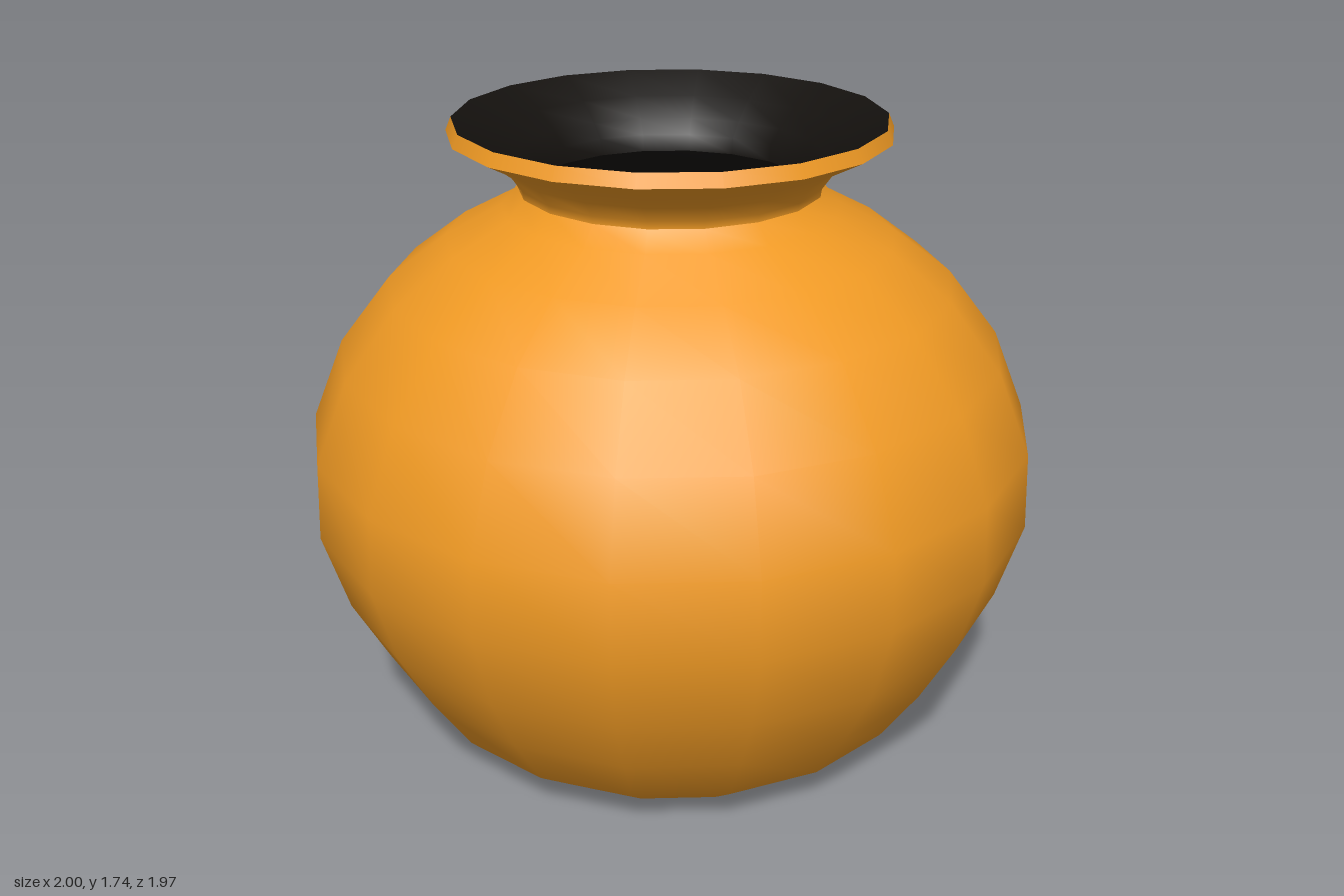
import * as THREE from 'three';

const SIDES = 18;
const clay = new THREE.MeshStandardMaterial({ color: 0xf09a24 });
const soot = new THREE.MeshStandardMaterial({ color: 0x14110e });

// One turned surface; the profile runs upward on the outside, downward on the inside
function turned(name, profile, material) {
  const points = profile.map(([r, y]) => new THREE.Vector2(r, y));
  const mesh = new THREE.Mesh(new THREE.LatheGeometry(points, SIDES, Math.PI / 2), material);
  mesh.name = name;
  return mesh;
}

export function createModel() {
  const pot = new THREE.Group();
  pot.name = 'pot';

  // Outer skin, split where the edges are sharp
  pot.add(turned('base', [[0, 0], [0.58, 0]], clay));
  pot.add(turned('body', [
    [0.58, 0], [0.73, 0.12], [0.84, 0.29], [0.935, 0.47], [1, 0.69], [0.99, 0.9],
    [0.9, 1.12], [0.76, 1.3], [0.6, 1.42], [0.45, 1.5], [0.405, 1.55],
  ], clay));
  pot.add(turned('neck', [
    [0.405, 1.55], [0.407, 1.57], [0.435, 1.61], [0.49, 1.65], [0.585, 1.7],
  ], clay));
  pot.add(turned('rim', [[0.585, 1.7], [0.57, 1.735]], clay));

  // Dark hollow inside
  pot.add(turned('innerNeck', [
    [0.57, 1.735], [0.47, 1.68], [0.41, 1.63], [0.375, 1.59], [0.37, 1.545],
  ], soot));
  pot.add(turned('innerWall', [
    [0.37, 1.545], [0.43, 1.47], [0.58, 1.39], [0.735, 1.27], [0.87, 1.1], [0.955, 0.89],
    [0.965, 0.69], [0.9, 0.48], [0.81, 0.31], [0.7, 0.15], [0.57, 0.04],
  ], soot));
  pot.add(turned('innerFloor', [[0.57, 0.04], [0, 0.04]], soot));

  return pot;
}
